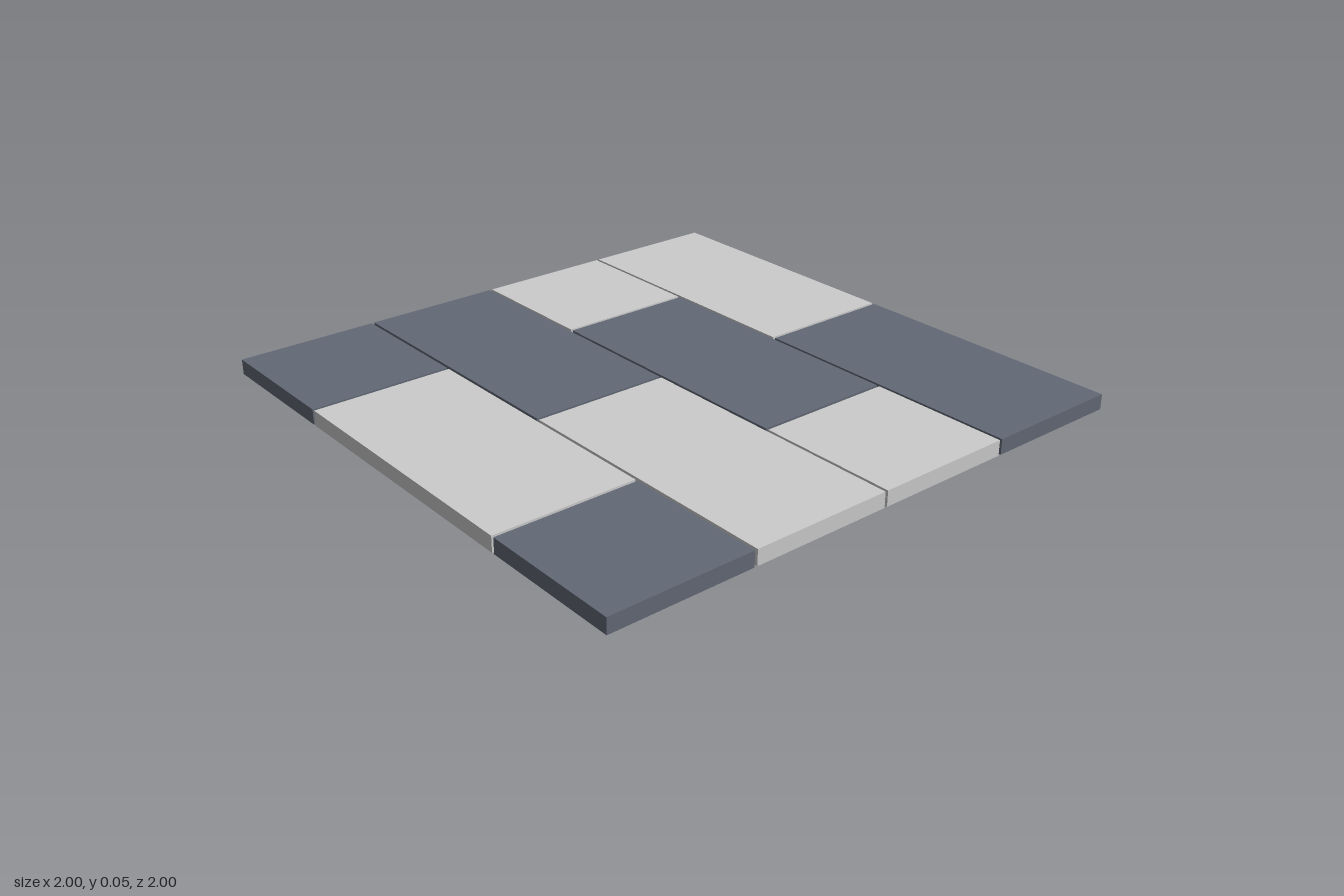
import * as THREE from 'three';

const HEIGHT = 0.053;
const GAP = 0.01;
const ROW = 0.5;

export function createModel() {
  const floor = new THREE.Group();
  floor.name = 'tiledFloor';

  const light = new THREE.MeshStandardMaterial({ color: 0xcccccc });
  const dark = new THREE.MeshStandardMaterial({ color: 0x626976 });

  // Running bond, back row to front row: x joints and the tile materials between them
  const rows = [
    { joints: [-1, 0, 1], tiles: [light, dark] },
    { joints: [-1, -0.5, 0.5, 1], tiles: [light, dark, light] },
    { joints: [-1, 0, 1], tiles: [dark, light] },
    { joints: [-1, -0.5, 0.5, 1], tiles: [dark, light, dark] },
  ];

  // Half a joint is trimmed from every inner edge, outer edges stay flush
  const trim = (a, b) => [a > -1 ? a + GAP / 2 : a, b < 1 ? b - GAP / 2 : b];

  rows.forEach(({ joints, tiles }, r) => {
    const row = new THREE.Group();
    row.name = `tileRow${r + 1}`;
    const [z0, z1] = trim(-1 + r * ROW, -1 + (r + 1) * ROW);
    tiles.forEach((material, i) => {
      const [x0, x1] = trim(joints[i], joints[i + 1]);
      const tile = new THREE.Mesh(new THREE.BoxGeometry(x1 - x0, HEIGHT, z1 - z0), material);
      tile.name = x1 - x0 > 0.6 ? 'fullTile' : 'halfTile';
      tile.position.set((x0 + x1) / 2, HEIGHT / 2, (z0 + z1) / 2);
      row.add(tile);
    });
    floor.add(row);
  });

  return floor;
}
